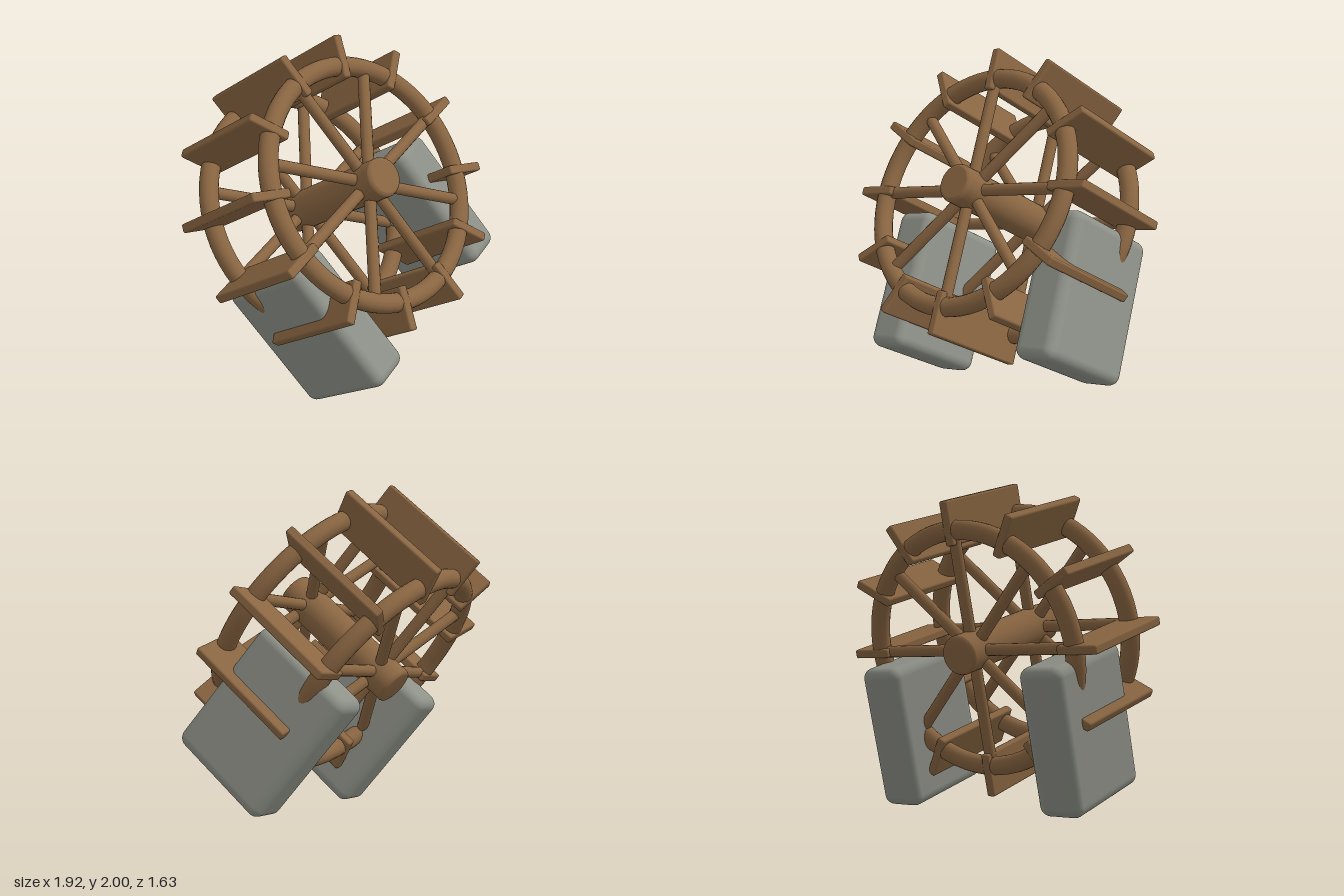
import * as THREE from 'three';
import { RoundedBoxGeometry } from 'three/addons/geometries/RoundedBoxGeometry.js';

const RIM = 0.678;      // rim centreline radius
const RIM_Z = 0.29;     // rim distance from the wheel's middle

export function createModel() {
  const wood = new THREE.MeshStandardMaterial({ color: 0x8a6642 });
  wood.name = 'wood';
  const stone = new THREE.MeshStandardMaterial({ color: 0x8e9188 });
  stone.name = 'stone';

  const model = new THREE.Group();
  model.name = 'waterWheel';

  // Wheel is built around its own z axis, then tilted as a whole
  const wheel = new THREE.Group();
  wheel.name = 'tiltedWheel';
  model.add(wheel);

  function add(name, geometry, material, parent = wheel) {
    const mesh = new THREE.Mesh(geometry, material);
    mesh.name = name;
    parent.add(mesh);
    return mesh;
  }

  // Axle with softened end edges
  const h = 0.43, r = 0.113, b = 0.02;
  const profile = [
    [0, -h], [r - b, -h], [r - b * 0.3, -h + b * 0.3], [r, -h + b], [r, -h + b],
    [r, h - b], [r, h - b], [r - b * 0.3, h - b * 0.3], [r - b, h], [r - b, h], [0, h],
  ].map(([x, y]) => new THREE.Vector2(x, y));
  add('axle', new THREE.LatheGeometry(profile, 32), wood).rotation.x = Math.PI / 2;

  // Two rims, each with eight spokes
  const rimGeometry = new THREE.TorusGeometry(RIM, 0.055, 16, 72);
  const spokeGeometry = new THREE.CylinderGeometry(0.034, 0.034, RIM, 14);
  spokeGeometry.translate(0, RIM / 2, 0);
  for (const side of [1, -1]) {
    const ring = new THREE.Group();
    ring.name = side > 0 ? 'frontRing' : 'backRing';
    ring.position.z = side * RIM_Z;
    wheel.add(ring);
    add('rim', rimGeometry, wood, ring);
    for (let i = 0; i < 8; i++) {
      add('spoke', spokeGeometry, wood, ring).rotation.z = (i * Math.PI) / 4;
    }
  }

  // Twelve paddles spanning both rims
  const paddleGeometry = new RoundedBoxGeometry(0.25, 0.052, 0.695, 2, 0.012);
  paddleGeometry.translate(0.722, 0, 0);
  for (let i = 0; i < 12; i++) {
    add('paddle', paddleGeometry, wood).rotation.z = (i * Math.PI) / 6;
  }

  // Stone supports on both sides
  const supportGeometry = new RoundedBoxGeometry(0.27, 0.83, 0.656, 4, 0.06);
  for (const side of [1, -1]) {
    add('stoneSupport', supportGeometry, stone).position.set(side * 0.56, -0.475, -0.177);
  }

  // Tilt of the whole assembly
  const axis = new THREE.Vector3(0.352, 0.553, 0.755).normalize();
  const across = new THREE.Vector3(0.798, 0.244, -0.551);
  across.addScaledVector(axis, -across.dot(axis)).normalize();
  const up = new THREE.Vector3().crossVectors(axis, across);
  wheel.quaternion.setFromRotationMatrix(new THREE.Matrix4().makeBasis(across, up, axis));
  wheel.position.set(-0.047, 1.122, 0);

  return model;
}
